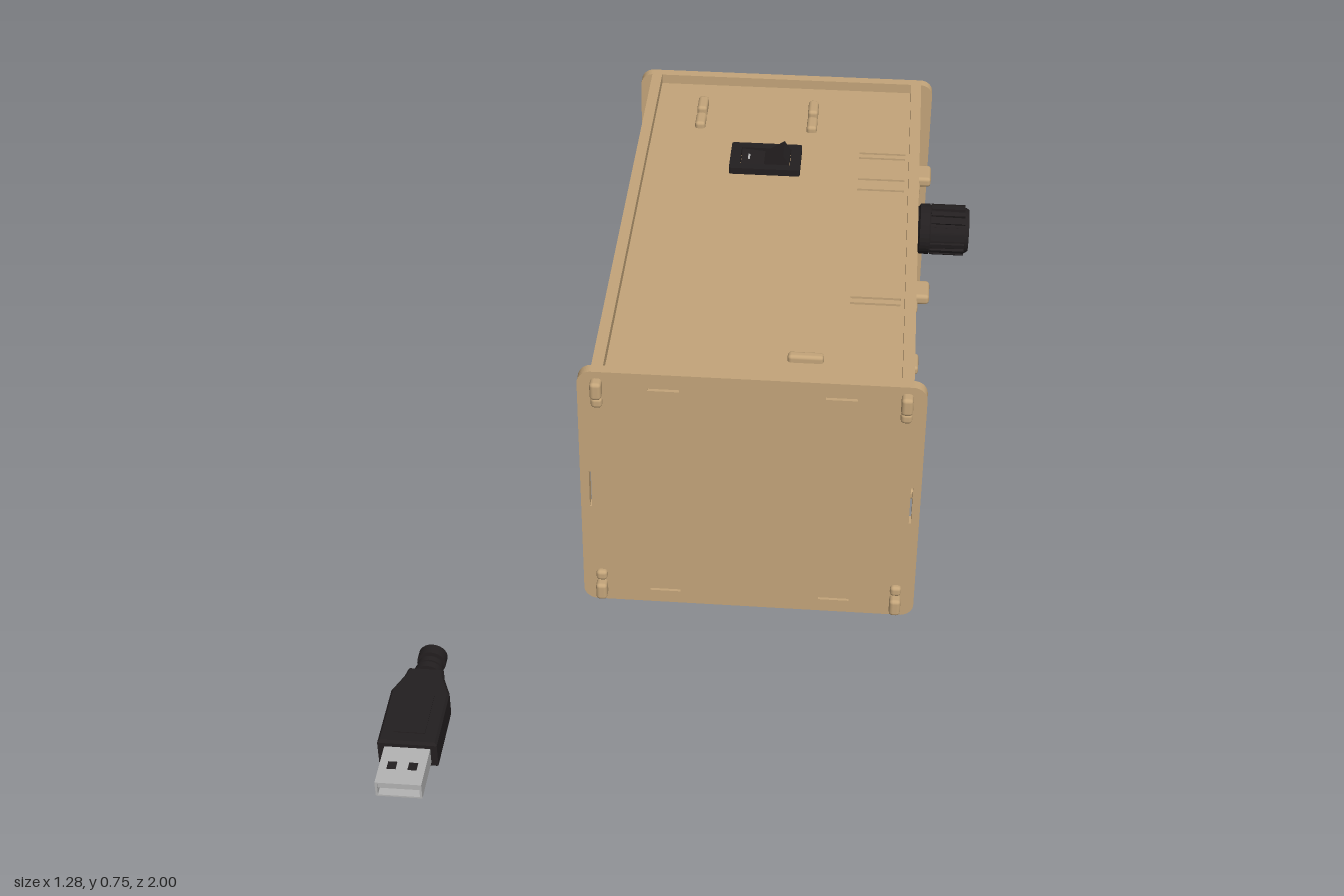
import * as THREE from 'three';
import { RoundedBoxGeometry } from 'three/addons/geometries/RoundedBoxGeometry.js';

const mat = (color) => new THREE.MeshStandardMaterial({ color, side: THREE.DoubleSide });

export function createModel() {
  const root = new THREE.Group();
  const wood = mat(0xc4a57a), black = mat(0x231f20), grey = mat(0xb4b4b4), green = mat(0x1d5a2c);

  const add = (name, geo, material, x = 0, y = 0, z = 0, parent = root) => {
    const m = new THREE.Mesh(geo, material);
    m.name = name;
    m.position.set(x, y, z);
    parent.add(m);
    return m;
  };
  // box given by its min and max corners
  const box = (name, material, a, b, parent = root) =>
    add(name, new THREE.BoxGeometry(b[0] - a[0], b[1] - a[1], b[2] - a[2]), material,
      (a[0] + b[0]) / 2, (a[1] + b[1]) / 2, (a[2] + b[2]) / 2, parent);
  // rounded peg given by its min and max corners
  const peg = (name, a, b) => {
    const s = b.map((v, i) => v - a[i]);
    return add(name, new RoundedBoxGeometry(...s, 2, Math.min(...s) * 0.35), wood,
      (a[0] + b[0]) / 2, (a[1] + b[1]) / 2, (a[2] + b[2]) / 2);
  };
  // rounded rectangle outline
  const rect = (x0, y0, x1, y1, r = 0, p = new THREE.Shape()) => {
    if (!r) {
      p.moveTo(x0, y0).lineTo(x1, y0).lineTo(x1, y1).lineTo(x0, y1).closePath();
      return p;
    }
    p.moveTo(x0 + r, y0);
    p.absarc(x1 - r, y0 + r, r, -Math.PI / 2, 0);
    p.absarc(x1 - r, y1 - r, r, 0, Math.PI / 2);
    p.absarc(x0 + r, y1 - r, r, Math.PI / 2, Math.PI);
    p.absarc(x0 + r, y0 + r, r, Math.PI, Math.PI * 1.5);
    return p;
  };
  const hole = (x0, y0, x1, y1, r = 0) => rect(x0, y0, x1, y1, r, new THREE.Path());
  const T = 0.026; // sheet thickness
  const sheet = (shape, holes = []) => {
    shape.holes.push(...holes);
    return new THREE.ExtrudeGeometry(shape, { depth: T, bevelEnabled: false, curveSegments: 6 });
  };

  const Y0 = 0.085, Y1 = 0.737, ZB = -0.949, ZF = 0.367, XL = -0.215, XR = 0.49;

  // end plates, the back one with vent slots
  const endHoles = () => {
    const h = [];
    for (const y of [0.119, 0.693]) for (const x of [-0.09, 0.3]) h.push(hole(x, y, x + 0.07, y + 0.006));
    for (const x of [-0.225, 0.497]) h.push(hole(x, 0.36, x + 0.005, 0.46));
    return h;
  };
  const endShape = () => rect(-0.245, Y0, 0.52, Y1, 0.032);
  add('frontPlate', sheet(endShape(), endHoles()), wood, 0, 0, ZF);
  const vents = [[0.08, 0.32], [0.125, 0.385], [0.125, 0.445], [0.08, 0.51]]
    .map(([w, y]) => hole(0.07 - w, y - 0.013, 0.07 + w, y + 0.013, 0.0125));
  add('backPlate', sheet(endShape(), [...endHoles(), ...vents]), wood, 0, 0, ZB - T);

  // display side: window, knob hole and flexible clip slits
  const slits = [];
  for (const [y, s] of [[0.698, -1], [0.124, 1]]) {
    for (const [z, d] of [[0.36, -1], [-0.942, 1]]) {
      const p = new THREE.Path();
      const pts = [[0, 0], [0.035, 0], [0.05, 0.015], [0.12, 0.015], [0.14, 0], [0.15, 0]];
      [...pts, ...pts.map(([u, v]) => [u, v + 0.007]).reverse()].forEach(([u, v], i) =>
        i ? p.lineTo(z + d * u, y + s * v) : p.moveTo(z + d * u, y + s * v));
      p.closePath();
      slits.push(p);
    }
  }
  const slots = [];
  for (const y of [0.112, 0.686]) for (const z of [-0.07, -0.625]) slots.push(hole(z, y, z + 0.12, y + 0.027, 0.006));
  const right = add('displayPanel', sheet(rect(ZB, Y0, ZF, Y1),
    [hole(-0.525, 0.24, 0.315, 0.585), ...slits, ...slots]), wood, XR);
  right.rotation.y = -Math.PI / 2;

  // plain side with the cable slot rising from the bottom edge
  const plain = new THREE.Shape();
  [[ZB, Y0], [0.1, Y0], [0.1, 0.3], [0.13, 0.3], [0.13, Y0], [ZF, Y0], [ZF, Y1], [ZB, Y1]]
    .forEach(([z, y], i) => (i ? plain.lineTo(z, y) : plain.moveTo(z, y)));
  const left = add('plainPanel', sheet(plain), wood, XL + T);
  left.rotation.y = -Math.PI / 2;

  // recessed top and bottom sheets with spring slits
  for (const [name, y] of [['topPanel', 0.712], ['bottomPanel', 0.138]]) {
    const cuts = [-0.63, -0.607, -0.505, -0.456, 0.018, 0.042].map((z) => hole(0.34, z - 0.004, 0.455, z + 0.004));
    const p = add(name, sheet(rect(XL + T, ZB, XR - T, ZF), cuts), wood, 0, y);
    p.rotation.x = Math.PI / 2;
    // locking tabs through the display side
    for (const z of [-0.07, -0.59]) {
      peg('lockingTab', [0.45, y - T, z], [0.52, y, z + 0.07]);
      peg('lockingTabHalf', [0.45, y - T + 0.002, z + 0.078], [0.494, y - 0.002, z + 0.112]);
    }
  }

  // corner pegs of the side panels through the end plates
  for (const x of [XL, XR - T]) {
    for (const y of [0.1, 0.645]) {
      const outer = y < 0.4 ? y : y + 0.03;
      for (const [z0, z1, zm] of [[0.35, 0.418, 0.405], [-1, -0.93, -0.987]]) {
        peg('cornerPeg', [x, outer, z0], [x + T, outer + 0.045, z1]);
        const inner = y < 0.4 ? y + 0.048 : y;
        peg('cornerPegHalf', [x, inner, Math.min(z0, zm) + (z0 < 0 ? 0.013 : 0)], [x + T, inner + 0.027, z0 < 0 ? z1 : zm]);
      }
    }
  }

  // bracket pegs through the top and bottom
  for (const [y0, y1] of [[0.69, 0.737], [0.085, 0.132]]) {
    for (const x of [-0.083, 0.202]) {
      peg('bracketPeg', [x, y0, -0.85], [x + T, y1, -0.785]);
      peg('bracketPegHalf', [x, y0 + 0.008, -0.78], [x + T, y1 - 0.008, -0.72]);
    }
    peg('frontPeg', [0.21, y0 + 0.008, 0.263], [0.29, y1 - 0.008, 0.287]);
  }

  // display module
  const lcd = new THREE.Group();
  lcd.name = 'display';
  root.add(lcd);
  box('circuitBoard', green, [0.44, 0.24, -0.525], [0.466, 0.585, 0.315], lcd);
  const bezel = add('bezel', new THREE.ExtrudeGeometry((() => {
    const s = rect(-0.52, 0.246, 0.31, 0.579);
    s.holes.push(hole(-0.435, 0.302, 0.225, 0.525));
    return s;
  })(), { depth: 0.022, bevelEnabled: false }), black, 0.488, 0, 0, lcd);
  bezel.rotation.y = -Math.PI / 2;
  box('screen', grey, [0.46, 0.3, -0.437], [0.48, 0.527, 0.227], lcd);
  for (const y of [0.268, 0.555]) box('bezelRidge', black, [0.486, y, -0.48], [0.491, y + 0.006, 0.27], lcd);

  // ribbed knob
  const knob = new THREE.Group();
  knob.name = 'knob';
  knob.position.set(XR, 0.413, -0.765);
  knob.rotation.z = -Math.PI / 2;
  root.add(knob);
  const prof = [[0, 0], [0.058, 0], [0.058, 0.012], [0.066, 0.016], [0.066, 0.04], [0.061, 0.044],
    [0.059, 0.135], [0.054, 0.143], [0, 0.143]].map(([r, h]) => new THREE.Vector2(r, h));
  const body = add('knobBody', new THREE.LatheGeometry(prof, 36).toNonIndexed(), black, 0, 0, 0, knob);
  body.geometry.computeVertexNormals();
  for (let i = 0; i < 18; i++) {
    const a = (i / 18) * Math.PI * 2;
    const rib = add('knobRib', new THREE.BoxGeometry(0.012, 0.088, 0.012), black,
      Math.cos(a) * 0.06, 0.088, Math.sin(a) * 0.06, knob);
    rib.rotation.y = -a;
  }
  box('knobMark', grey, [0.035, 0.142, -0.002], [0.054, 0.1445, 0.002], knob);

  // rocker switch
  const sw = new THREE.Group();
  sw.name = 'rockerSwitch';
  root.add(sw);
  const frame = rect(0.02, -0.63, 0.196, -0.504, 0.006);
  frame.holes.push(hole(0.046, -0.606, 0.17, -0.528));
  const rim = add('switchFrame', new THREE.ExtrudeGeometry(frame, { depth: 0.018, bevelEnabled: false }),
    black, 0, 0.729, 0, sw);
  rim.rotation.x = Math.PI / 2;
  const rocker = new THREE.Shape();
  [[0.048, 0.69], [0.168, 0.69], [0.168, 0.73], [0.153, 0.753], [0.105, 0.722], [0.048, 0.727]]
    .forEach(([x, y], i) => (i ? rocker.lineTo(x, y) : rocker.moveTo(x, y)));
  add('rocker', new THREE.ExtrudeGeometry(rocker, { depth: 0.074, bevelEnabled: false }), black, 0, 0, -0.604, sw);
  const bar = box('onMark', grey, [0.064, 0.7255, -0.578], [0.069, 0.7275, -0.556], sw);
  bar.rotation.z = -0.09;

  // usb plug
  const usb = new THREE.Group();
  usb.name = 'usbPlug';
  usb.position.set(-0.575, 0.0375, 0);
  root.add(usb);
  const half = [[0.066, 0.89], [0.066, 0.725], [0.045, 0.675], [0.04, 0.65]];
  const outline = new THREE.Shape();
  [...half, ...half.map(([x, z]) => [-x, z]).reverse()]
    .forEach(([x, z], i) => (i ? outline.lineTo(x, z) : outline.moveTo(x, z)));
  const grip = add('plugGrip', new THREE.ExtrudeGeometry(outline,
    { depth: 0.059, bevelThickness: 0.006, bevelSize: 0.005, bevelOffset: -0.005, bevelSegments: 1 }),
  black, 0, 0.0295, 0, usb);
  grip.rotation.x = Math.PI / 2;
  for (const s of [-1, 1]) box('gripPad', black, [-0.035, s * 0.036 - 0.0015, 0.74], [0.035, s * 0.036 + 0.0015, 0.86], usb);
  // strain relief
  for (const [r, z0, z1] of [[0.022, 0.575, 0.655], [0.033, 0.57, 0.597], [0.03, 0.605, 0.618], [0.033, 0.626, 0.642]]) {
    const ring = add('strainRelief', new THREE.CylinderGeometry(r, r, z1 - z0, 24), black, 0, 0, (z0 + z1) / 2, usb);
    ring.rotation.x = Math.PI / 2;
  }
  // metal shell, tongue and contacts
  const shell = rect(-0.051, -0.02, 0.051, 0.02);
  shell.holes.push(hole(-0.046, -0.016, 0.046, 0.016));
  add('plugShell', new THREE.ExtrudeGeometry(shell, { depth: 0.112, bevelEnabled: false }), grey, 0, 0, 0.888, usb);
  box('plugTongue', grey, [-0.046, 0, 0.888], [0.046, 0.016, 0.995], usb);
  for (let i = 0; i < 4; i++) {
    const x = -0.03 + i * 0.02;
    box('contact', mat(0xcccccc), [x - 0.005, -0.003, 0.9], [x + 0.005, 0, 0.99], usb);
  }
  for (const s of [-1, 1]) for (const x of [-0.023, 0.023])
    box('shellWindow', black, [x - 0.01, s * 0.0202 - 0.0006, 0.935], [x + 0.01, s * 0.0202 + 0.0006, 0.957], usb);

  return root;
}
